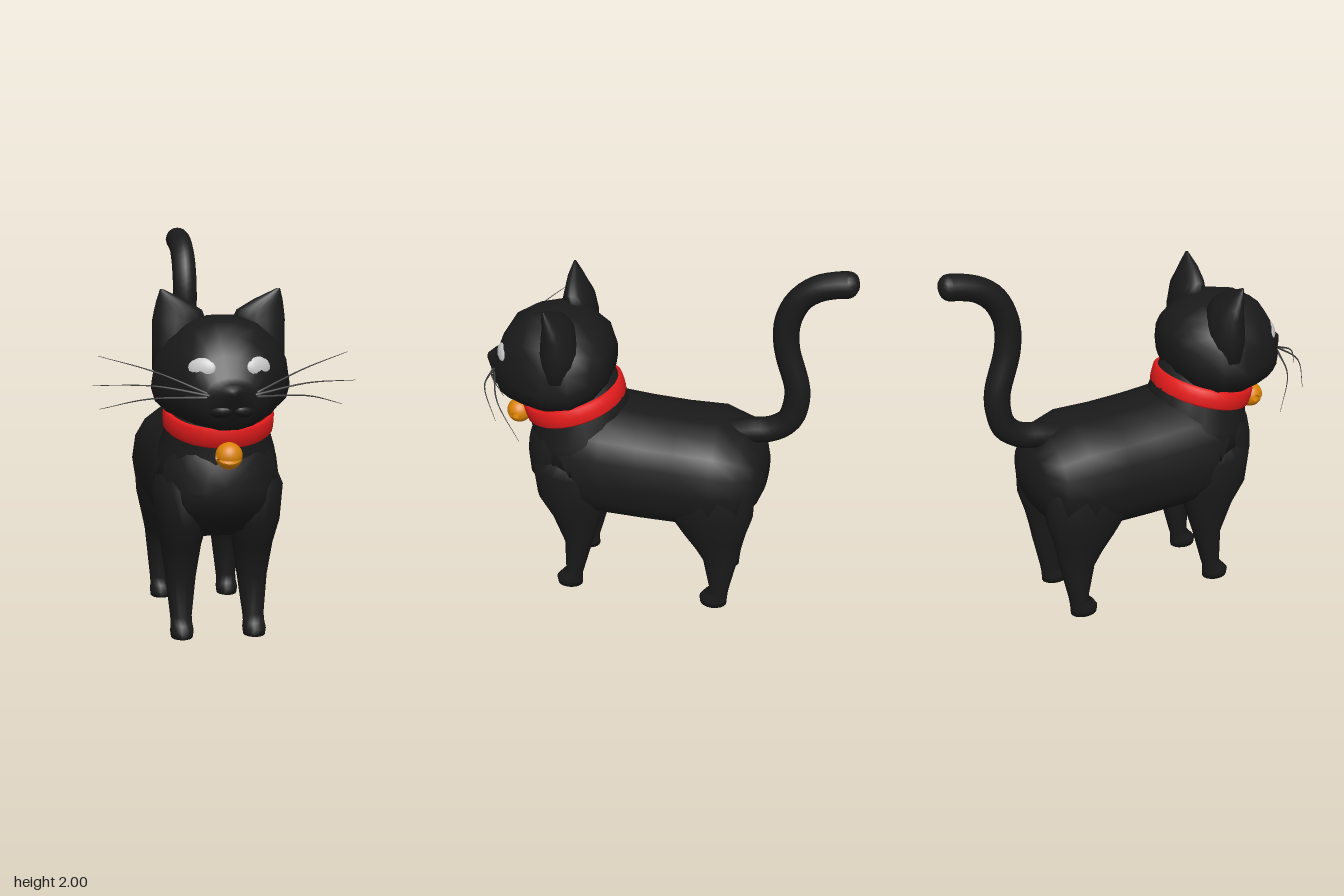
import * as THREE from 'three';

const material = (color) => new THREE.MeshStandardMaterial({ color });
const V = (x, y, z) => new THREE.Vector3(x, y, z);
const SIDES = 18;

// Skin a list of closed rings, cap both ends and make the faces point outward
function loft(rings) {
  const n = rings[0].length, pos = [], idx = [];
  rings.forEach((r) => r.forEach((p) => pos.push(p.x, p.y, p.z)));
  for (let i = 0; i < rings.length - 1; i++) {
    for (let j = 0; j < n; j++) {
      const a = i * n + j, b = i * n + (j + 1) % n;
      idx.push(a, b, a + n, b, b + n, a + n);
    }
  }
  [0, rings.length - 1].forEach((i) => {
    const c = rings[i].reduce((s, p) => s.add(p), V(0, 0, 0)).divideScalar(n);
    const k = pos.length / 3;
    pos.push(c.x, c.y, c.z);
    for (let j = 0; j < n; j++) {
      const a = i * n + j, b = i * n + (j + 1) % n;
      if (i === 0) idx.push(k, b, a); else idx.push(k, a, b);
    }
  });
  const at = (i) => V(pos[i * 3], pos[i * 3 + 1], pos[i * 3 + 2]);
  let volume = 0;
  for (let i = 0; i < idx.length; i += 3) {
    volume += at(idx[i]).dot(at(idx[i + 1]).cross(at(idx[i + 2])));
  }
  if (volume < 0) idx.reverse();
  const g = new THREE.BufferGeometry();
  g.setAttribute('position', new THREE.Float32BufferAttribute(pos, 3));
  g.setIndex(idx);
  g.computeVertexNormals();
  return g;
}

const power = (v, e) => Math.sign(v) * Math.pow(Math.abs(v), 2 / e);

// Upright cross-section at depth z, widest at height mid
function slice(z, top, bottom, mid, w, e) {
  return Array.from({ length: SIDES }, (_, i) => {
    const a = (i / SIDES) * Math.PI * 2, s = power(Math.sin(a), e);
    return V(w * power(Math.cos(a), e), mid + s * (s > 0 ? top - mid : mid - bottom), z);
  });
}

// Level cross-section at height y between x and z limits, optionally tilted down at the front
function level(y, x0, x1, z0, z1, side = 1, tilt = 0) {
  return Array.from({ length: SIDES }, (_, i) => {
    const a = (i / SIDES) * Math.PI * 2, dz = Math.sin(a) * (z1 - z0) / 2;
    return V(side * ((x0 + x1) / 2 + Math.cos(a) * (x1 - x0) / 2), y - tilt * dz, (z0 + z1) / 2 + dz);
  });
}

export function createModel() {
  const cat = new THREE.Group();
  const fur = material(0x1a1a1a), red = material(0xe81c1c);
  const grey = material(0xcccccc), dark = material(0x444444);
  const gold = material(0xd98205);
  gold.side = THREE.DoubleSide;
  const add = (name, geometry, mat = fur) => {
    const m = new THREE.Mesh(geometry, mat);
    m.name = name;
    cat.add(m);
    return m;
  };

  // Torso: z, top, bottom, half width
  add('torso', loft([
    [0.73, 0.9, 0.72, 0.1], [0.69, 1.02, 0.64, 0.2], [0.6, 1.08, 0.55, 0.28],
    [0.45, 1.12, 0.5, 0.32], [0.3, 1.12, 0.47, 0.33], [0.1, 1.1, 0.465, 0.33],
    [-0.1, 1.09, 0.465, 0.33], [-0.3, 1.09, 0.48, 0.34], [-0.44, 1.04, 0.53, 0.305],
    [-0.52, 0.95, 0.63, 0.21], [-0.55, 0.84, 0.7, 0.12],
  ].map(([z, t, b, w]) => slice(z, t, b, 0.78, w, 2.3))));

  // Neck rising through the collar into the head
  add('neck', loft([
    level(0.8, -0.32, 0.32, 0.15, 0.725, 1, 0.1), level(0.95, -0.295, 0.295, 0.17, 0.725, 1, 0.2),
    level(1.09, -0.25, 0.25, 0.22, 0.73, 1, 0.28), level(1.25, -0.23, 0.23, 0.3, 0.74, 1, 0.28),
  ]));

  // Head: z, top, bottom, height of widest point, half width
  add('head', loft([
    [0.96, 1.31, 1.28, 1.295, 0.02], [0.93, 1.335, 1.23, 1.285, 0.065], [0.885, 1.36, 1.14, 1.27, 0.125],
    [0.855, 1.46, 1.11, 1.28, 0.18], [0.8, 1.55, 1.095, 1.28, 0.225], [0.7, 1.61, 1.09, 1.28, 0.285],
    [0.57, 1.635, 1.1, 1.28, 0.345], [0.44, 1.6, 1.12, 1.29, 0.325], [0.34, 1.54, 1.17, 1.32, 0.25],
    [0.29, 1.45, 1.24, 1.34, 0.15], [0.28, 1.39, 1.3, 1.35, 0.06],
  ].map(([z, t, b, m, w]) => slice(z, t, b, m, w, 2.15))));

  // Collar: tilted band with a softly rounded section
  const band = [[0.245, -0.045], [0.262, -0.052], [0.274, -0.04], [0.276, 0], [0.274, 0.04], [0.262, 0.052], [0.245, 0.045], [0.245, -0.045]];
  const collar = add('collar', new THREE.LatheGeometry(band.map((p) => new THREE.Vector2(...p)), 32), red);
  collar.position.set(0, 1.118, 0.493);
  collar.rotation.x = 0.275;

  // Bell: pierced sphere with a slit at the front
  const bellProfile = [new THREE.Vector2(0.02, -0.062)];
  for (let i = 0; i <= 12; i++) {
    const a = -1.26 + i * 0.21;
    bellProfile.push(new THREE.Vector2(0.066 * Math.cos(a), 0.066 * Math.sin(a)));
  }
  bellProfile.push(new THREE.Vector2(0.02, 0.062), new THREE.Vector2(0.02, -0.062));
  const bell = add('bell', new THREE.LatheGeometry(bellProfile, 28, -0.25, Math.PI * 2 - 0.25), gold);
  bell.rotation.z = Math.PI / 2;
  bell.position.set(0, 0.975, 0.805);

  // Tail: S-curved tube with a rounded tip
  const tailPath = new THREE.CatmullRomCurve3([
    [1.0, -0.36], [1.03, -0.46], [1.055, -0.57], [1.12, -0.655], [1.22, -0.687], [1.32, -0.688],
    [1.55, -0.625], [1.7, -0.625], [1.825, -0.68], [1.895, -0.765], [1.928, -0.87], [1.934, -0.915],
  ].map(([y, z]) => V(0, y, z)));
  add('tail', new THREE.TubeGeometry(tailPath, 40, 0.067, 12));
  const tip = add('tailTip', new THREE.SphereGeometry(0.066, 12, 10));
  tip.position.set(0, 1.934, -0.915);
  tip.scale.z = 0.8;

  for (const side of [1, -1]) {
    const label = side > 0 ? 'left' : 'right';
    const limb = (name, rows) => add(label + name, loft(rows.map((r) => level(...r, side))));

    // Legs: height, inner and outer x, back and front z
    limb('FrontLeg', [
      [0, 0.13, 0.24, 0.43, 0.57], [0.035, 0.125, 0.245, 0.43, 0.575], [0.065, 0.13, 0.24, 0.43, 0.55],
      [0.1, 0.13, 0.24, 0.42, 0.52], [0.3, 0.105, 0.26, 0.365, 0.52], [0.47, 0.08, 0.285, 0.31, 0.585],
      [0.6, 0.05, 0.315, 0.27, 0.66], [0.78, 0.03, 0.33, 0.25, 0.68], [0.9, 0.05, 0.28, 0.3, 0.62],
    ]);
    limb('BackLeg', [
      [0, 0.13, 0.24, -0.385, -0.24], [0.035, 0.125, 0.245, -0.387, -0.235], [0.065, 0.13, 0.24, -0.39, -0.255],
      [0.1, 0.13, 0.24, -0.395, -0.29], [0.3, 0.105, 0.26, -0.44, -0.25], [0.38, 0.095, 0.27, -0.455, -0.2],
      [0.47, 0.08, 0.29, -0.475, -0.135], [0.6, 0.05, 0.32, -0.515, -0.05], [0.78, 0.03, 0.335, -0.52, 0],
      [0.9, 0.05, 0.28, -0.47, -0.1],
    ]);

    // Ear: tapers up and outward to a point
    limb('Ear', [
      [1.36, 0.14, 0.33, 0.42, 0.6], [1.5, 0.09, 0.33, 0.41, 0.6], [1.6, 0.065, 0.33, 0.43, 0.59],
      [1.65, 0.085, 0.322, 0.465, 0.58], [1.7, 0.165, 0.312, 0.5, 0.575], [1.755, 0.28, 0.296, 0.545, 0.558],
    ]);

    // Eye: flattened ball set into the face
    const eye = add(label + 'Eye', new THREE.SphereGeometry(1, 18, 12), grey);
    eye.scale.set(0.075, 0.055, 0.03);
    eye.position.set(side * 0.135, 1.4, 0.825);
    eye.rotation.set(-0.2, side * 0.55, 0, 'YXZ');

    // Muzzle pad
    const pad = add(label + 'MuzzlePad', new THREE.SphereGeometry(1, 14, 10));
    pad.scale.set(0.062, 0.035, 0.045);
    pad.position.set(side * 0.05, 1.205, 0.88);
    pad.rotation.set(0, side * 0.4, side * -0.15);

    // Whiskers: start, bend and end points of tapering hairs
    [
      [[0.12, 1.29, 0.89], [0.35, 1.385, 0.82], [0.61, 1.45, 0.67]],
      [[0.11, 1.28, 0.9], [0.36, 1.325, 0.86], [0.64, 1.315, 0.71]],
      [[0.12, 1.27, 0.89], [0.38, 1.255, 0.79], [0.6, 1.185, 0.61]],
    ].forEach((pts) => {
      const curve = new THREE.CatmullRomCurve3(pts.map(([x, y, z]) => V(side * x, y, z)));
      const rings = Array.from({ length: 13 }, (_, i) => {
        const c = curve.getPoint(i / 12), r = 0.005 * (1 - i / 12) + 0.0012;
        return [0, 1, 2, 3, 4].map((k) => V(c.x, c.y + r * Math.cos(k * 1.2566), c.z + r * Math.sin(k * 1.2566)));
      });
      add(label + 'Whisker', loft(rings), dark);
    });
  }
  return cat;
}
